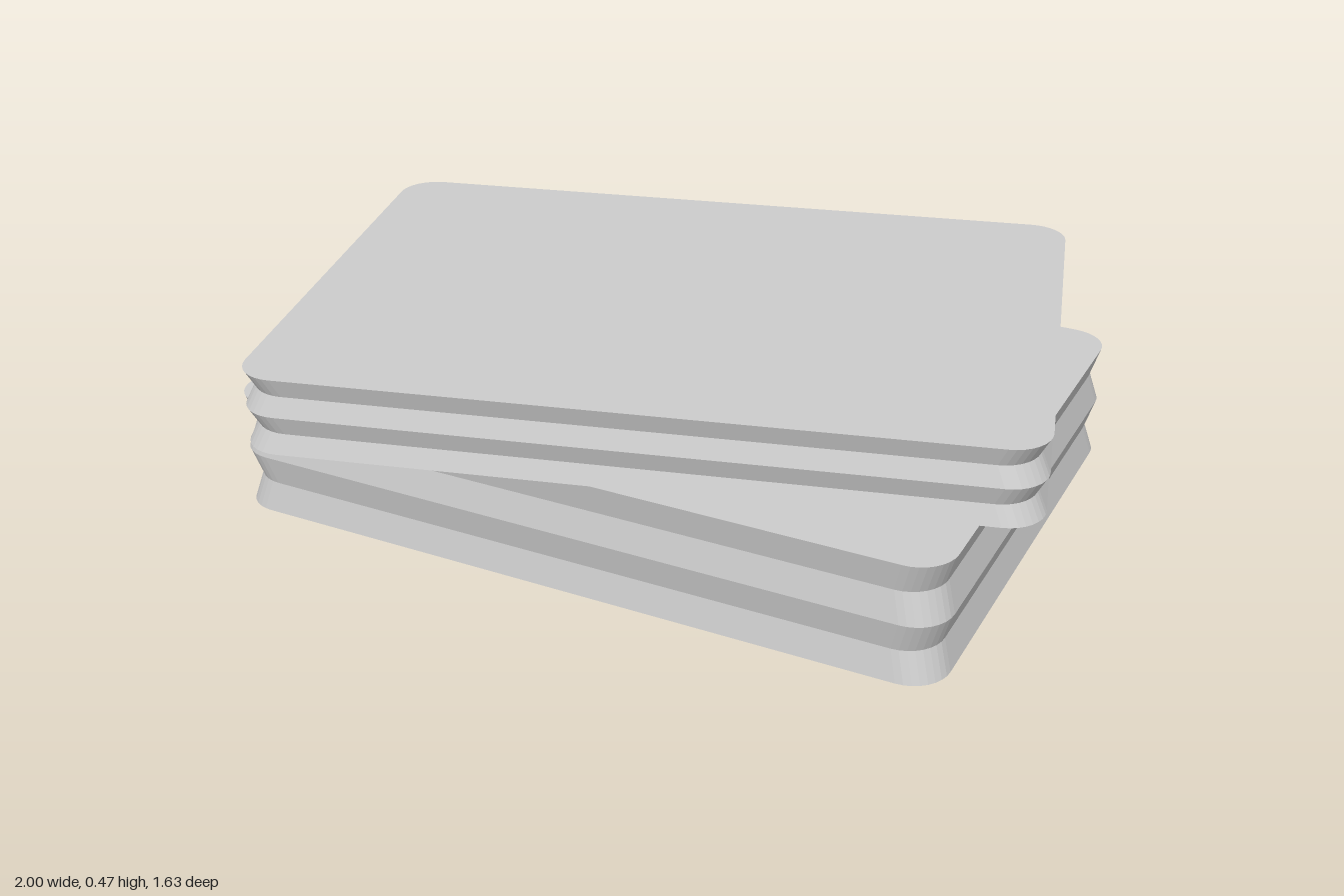
import * as THREE from 'three';

const HALF_X = 0.89, HALF_Z = 0.625, RADIUS = 0.09, BANDS = 4, PINCH = 0.976;

// Rounded rectangle outline shared by both slabs
function outline() {
  const x = HALF_X - RADIUS, y = HALF_Z - RADIUS, q = Math.PI / 2;
  const shape = new THREE.Shape();
  [[x, y], [-x, y], [-x, -y], [x, -y]].forEach(([cx, cy], i) =>
    shape.absarc(cx, cy, RADIUS, i * q, (i + 1) * q, false));
  shape.closePath();
  return shape;
}

// Slab whose sides zigzag: every second level is pinched inwards
function pleatedSlab(name, height, bottom, turn) {
  const geo = new THREE.ExtrudeGeometry(outline(), {
    depth: height, steps: BANDS, bevelEnabled: false, curveSegments: 4,
  });
  geo.rotateX(-Math.PI / 2);
  const pos = geo.attributes.position;
  for (let i = 0; i < pos.count; i++) {
    const level = Math.round(pos.getY(i) / height * BANDS);
    if (level % 2) {
      pos.setX(i, pos.getX(i) * PINCH);
      pos.setZ(i, pos.getZ(i) * PINCH);
    }
  }
  geo.computeVertexNormals();
  const mesh = new THREE.Mesh(geo, new THREE.MeshStandardMaterial({ color: 0xcccccc, flatShading: true }));
  mesh.name = name;
  mesh.position.y = bottom;
  mesh.rotation.y = turn;
  return mesh;
}

export function createModel() {
  const group = new THREE.Group();
  group.name = 'stackedSlabs';
  group.add(pleatedSlab('lowerSlab', 0.289, 0, 0));
  group.add(pleatedSlab('upperSlab', 0.185, 0.289, THREE.MathUtils.degToRad(15)));
  return group;
}
